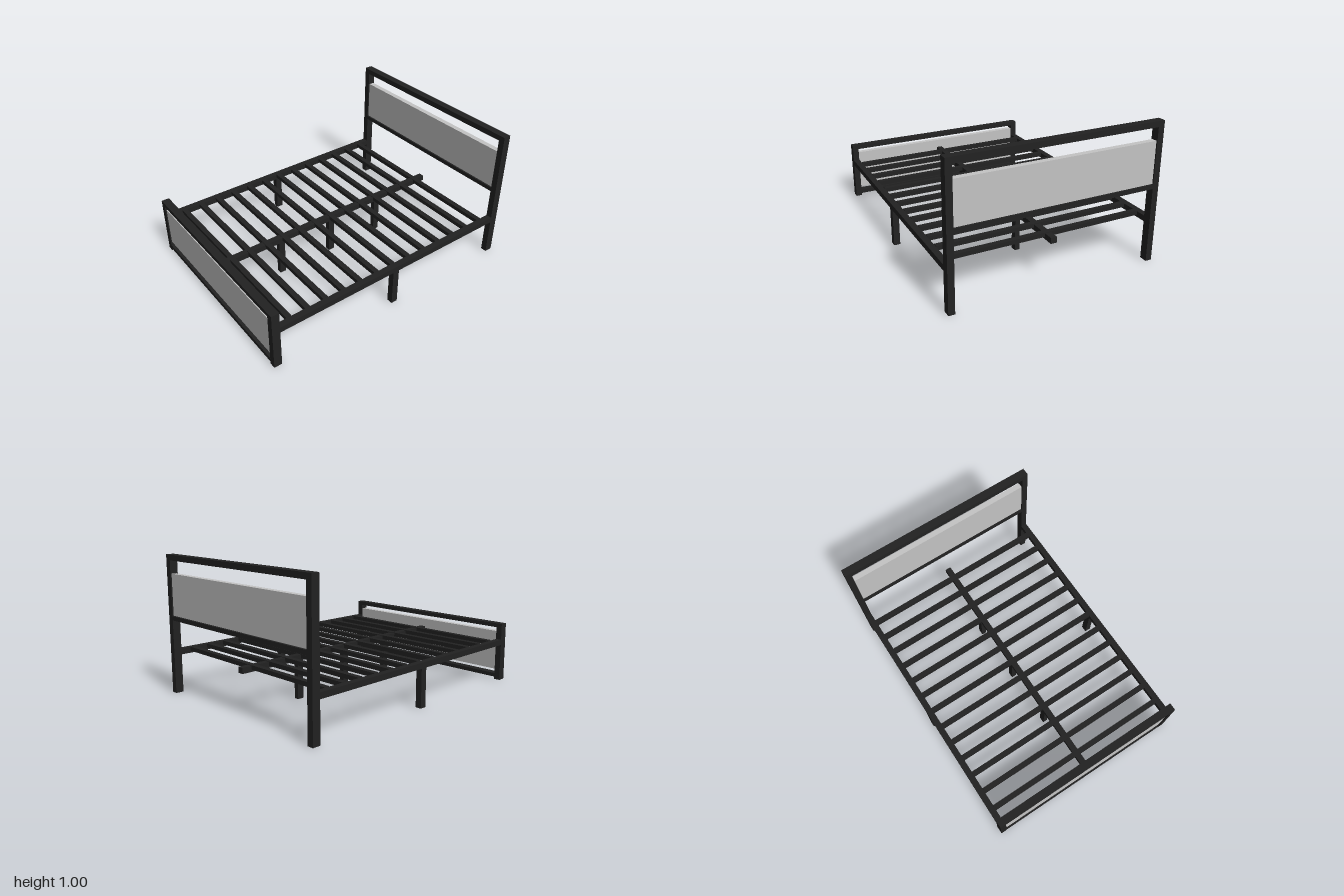
import * as THREE from 'three';

export function createModel() {
  const bed = new THREE.Group();
  bed.name = 'bedFrame';
  const metal = new THREE.MeshStandardMaterial({ color: 0x222222 });
  metal.name = 'blackMetal';
  const board = new THREE.MeshStandardMaterial({ color: 0xc4c4c4 });
  board.name = 'greyBoard';

  // box given by its lower and upper limits on each axis
  function bar(parent, name, [x0, x1], [y0, y1], [z0, z1], material = metal) {
    const mesh = new THREE.Mesh(new THREE.BoxGeometry(x1 - x0, y1 - y0, z1 - z0), material);
    mesh.position.set((x0 + x1) / 2, (y0 + y1) / 2, (z0 + z1) / 2);
    mesh.name = name;
    parent.add(mesh);
  }

  const outer = 0.755, inner = 0.71, depth = 0.058;
  const across = [-inner, inner];
  const sides = [['left', [inner, outer]], ['right', [-outer, -inner]]];

  // end frame: two posts, two rails and a panel
  function endFrame(name, z, height, topRail, lowRail, panel) {
    const group = new THREE.Group();
    group.name = name;
    group.position.z = z;
    const d = [-depth / 2, depth / 2];
    for (const [side, x] of sides) bar(group, side + 'Post', x, [0, height], d);
    bar(group, 'topRail', across, topRail, d);
    bar(group, 'lowerRail', across, lowRail, d);
    bar(group, 'panel', across, panel, [-0.02, 0.02], board);
    bed.add(group);
  }
  endFrame('headboard', -1 + depth / 2, 1, [0.96, 1], [0.535, 0.565], [0.568, 0.866]);
  endFrame('footboard', 1 - depth / 2, 0.44, [0.41, 0.44], [0.018, 0.047], [0.079, 0.378]);

  // side rails, each with a middle leg
  const run = [-1 + depth, 1 - depth], railY = [0.277, 0.318];
  for (const [side, x] of sides) {
    bar(bed, side + 'SideRail', x, railY, run);
    bar(bed, side + 'MiddleLeg', x, [0, railY[0]], [-0.024, 0.024]);
  }

  // centre beam on three legs
  bar(bed, 'centreBeam', [-0.022, 0.022], railY, run);
  for (const z of [-0.446, 0, 0.446]) {
    bar(bed, 'centreLeg', [-0.018, 0.018], [0, railY[0]], [z - 0.024, z + 0.024]);
  }

  // mattress slats
  for (let i = -6; i <= 6; i++) {
    const z = i * 0.1415;
    bar(bed, 'slat', across, [0.292, 0.322], [z - 0.019, z + 0.019]);
  }
  return bed;
}
